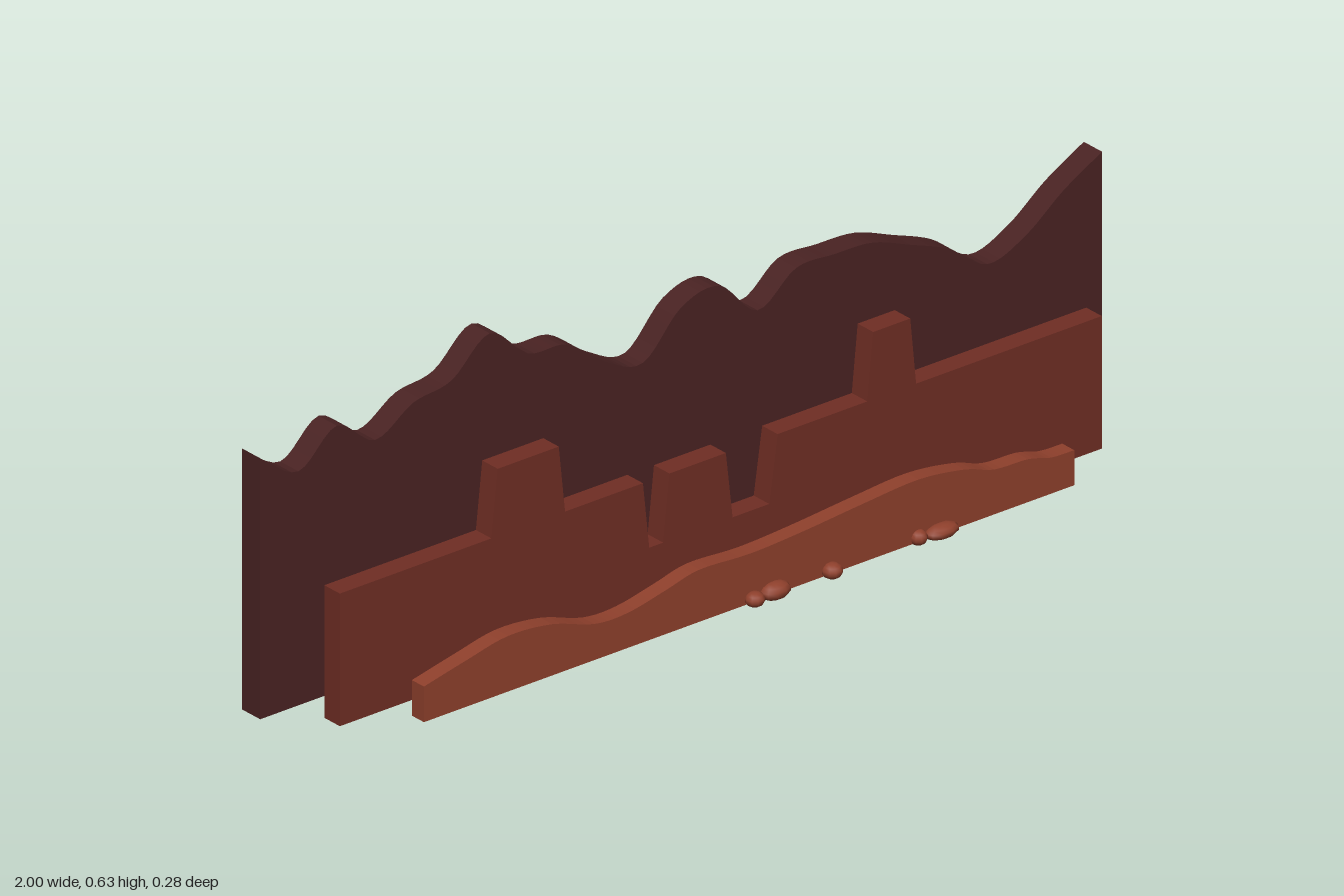
import * as THREE from 'three';

const mat = (name, color) => Object.assign(new THREE.MeshStandardMaterial({ color }), { name });
const BASE = 0.01;

// Extruded slab whose top edge follows the given line, between z0 and z1
function layer(name, top, z0, z1, material) {
  const first = top[0], last = top[top.length - 1];
  const shape = new THREE.Shape([
    new THREE.Vector2(first.x, BASE),
    new THREE.Vector2(last.x, BASE),
    ...[...top].reverse(),
  ]);
  const geo = new THREE.ExtrudeGeometry(shape, { depth: z1 - z0, bevelEnabled: false });
  geo.translate(0, 0, z0);
  const mesh = new THREE.Mesh(geo, material);
  mesh.name = name;
  return mesh;
}

const points = (list) => list.map(([x, y]) => new THREE.Vector2(x, y));
const smooth = (list, n) => new THREE.SplineCurve(points(list)).getPoints(n);

export function createModel() {
  const group = new THREE.Group();
  group.name = 'layeredCanyon';
  const dark = mat('dark maroon rock', 0x4a2323);
  const mid = mat('red brown rock', 0x702e24);
  const light = mat('rust rock', 0x8f402c);

  // Far ridge: evenly spaced heights joined by a smooth line
  const heights = [0.545, 0.49, 0.555, 0.497, 0.545, 0.562, 0.63, 0.56, 0.55, 0.487, 0.455,
    0.54, 0.556, 0.477, 0.535, 0.535, 0.53, 0.497, 0.46, 0.4, 0.43, 0.495, 0.545];
  const ridge = heights.map((y, i) => [-1 + (2 * i) / (heights.length - 1), y]);
  group.add(layer('farRidge', smooth(ridge, 132), -0.143, -0.09, dark));

  // Middle plateau with raised buttes and sunken gaps
  const plateau = [[-0.905, 0.282]];
  const steps = [
    [-0.545, -0.53, -0.385, -0.37, 0.42],
    [-0.185, -0.17, -0.137, -0.122, 0.145],
    [0.012, 0.028, 0.115, 0.135, 0.145],
    [0.348, 0.362, 0.45, 0.464, 0.42],
  ];
  for (const [a, b, c, d, y] of steps) plateau.push([a, 0.282], [b, y], [c, y], [d, 0.282]);
  plateau.push([0.905, 0.282]);
  group.add(layer('middlePlateau', points(plateau), -0.02, 0.025, mid));

  // Low foreground dunes
  const dunes = [[-0.775, 0.083], [-0.675, 0.105], [-0.575, 0.124], [-0.47, 0.115], [-0.37, 0.084],
    [-0.29, 0.082], [-0.2, 0.1], [-0.12, 0.117], [0, 0.112], [0.125, 0.118], [0.27, 0.13],
    [0.4, 0.138], [0.51, 0.124], [0.58, 0.102], [0.66, 0.098], [0.715, 0.084], [0.77, 0.082]];
  group.add(layer('foregroundDunes', smooth(dunes, 80), 0.075, 0.11, light));

  // Flattened rocks along the front foot: x, y, z, then half sizes
  const rocks = [
    [-0.1, 0.017, 0.087, 0.017, 0.013, 0.021],
    [0.005, 0.02, 0.117, 0.02, 0.015, 0.02],
    [0.056, 0.021, 0.113, 0.034, 0.018, 0.024],
    [0.19, 0.02, 0.115, 0.021, 0.016, 0.022],
    [0.4, 0.02, 0.108, 0.018, 0.016, 0.02],
    [0.45, 0.02, 0.115, 0.039, 0.015, 0.023],
    [0.568, 0.02, 0.09, 0.014, 0.016, 0.02],
  ];
  const rockGeo = new THREE.SphereGeometry(1, 10, 7);
  rocks.forEach(([x, y, z, sx, sy, sz], i) => {
    const rock = new THREE.Mesh(rockGeo, light);
    rock.name = `rock${i + 1}`;
    rock.position.set(x, y, z);
    rock.scale.set(sx, sy, sz);
    group.add(rock);
  });
  return group;
}
